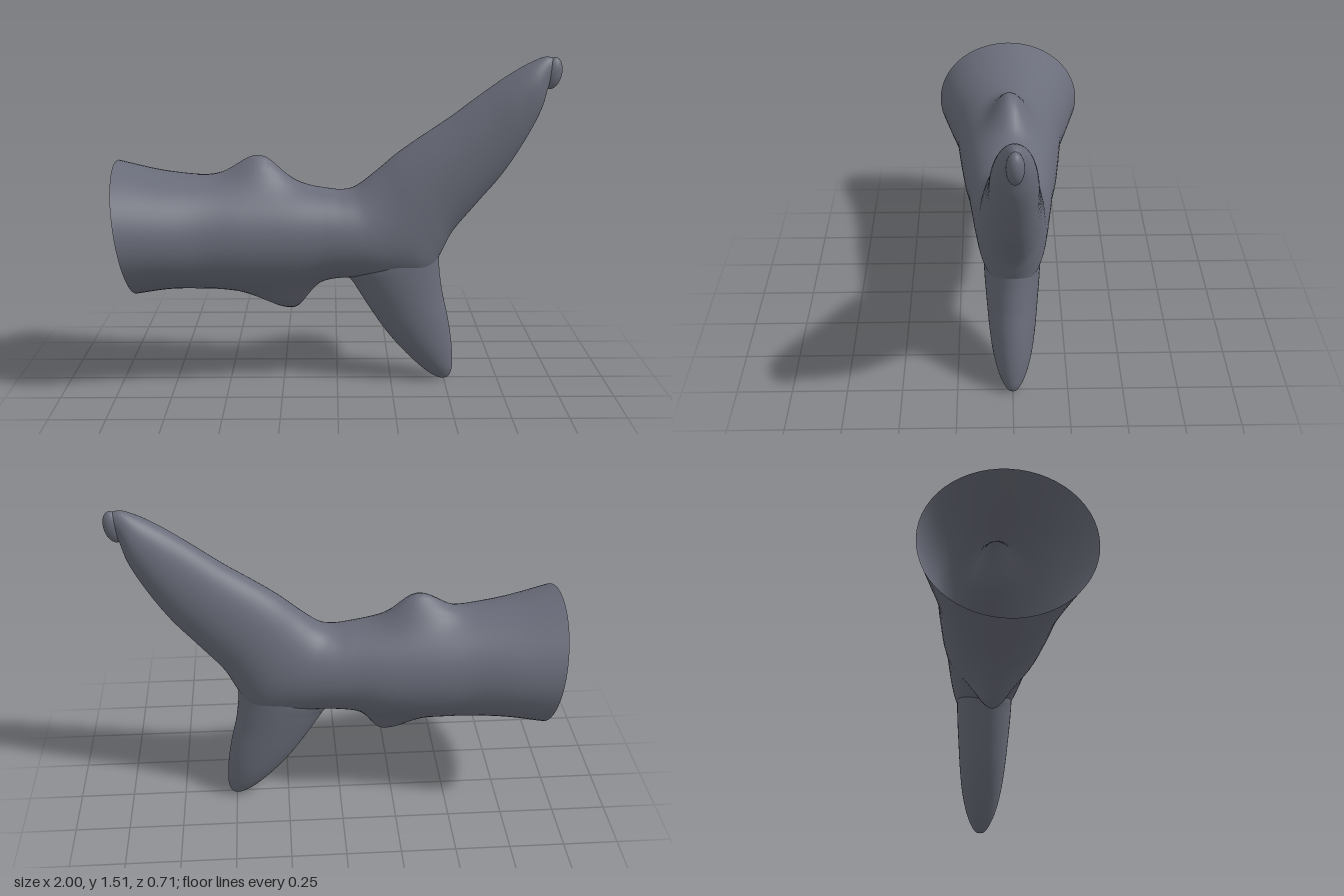
import * as THREE from 'three';

const skin = new THREE.MeshStandardMaterial({ color: 0x696c79, side: THREE.DoubleSide });
skin.name = 'slate grey skin';

// Smooth loft through elliptical sections: [edgeA x, y, edgeB x, y, half width]
function loft(name, sections, steps, shape) {
  const sides = 56;
  const edgeA = new THREE.CatmullRomCurve3(sections.map(s => new THREE.Vector3(s[0], s[1], s[4])));
  const edgeB = new THREE.CatmullRomCurve3(sections.map(s => new THREE.Vector3(s[2], s[3], 0)));
  const positions = [], index = [];
  for (let i = 0; i <= steps; i++) {
    const a = edgeA.getPoint(i / steps), b = edgeB.getPoint(i / steps);
    for (let j = 0; j < sides; j++) {
      const t = (j / sides) * Math.PI * 2, k = (1 - Math.cos(t)) / 2;
      const p = new THREE.Vector3(a.x + (b.x - a.x) * k, a.y + (b.y - a.y) * k, a.z * Math.sin(t));
      if (shape) shape(p, Math.cos(t));
      positions.push(p.x, p.y, p.z);
      if (i < steps) {
        const n = (j + 1) % sides, r = i * sides, q = r + sides;
        index.push(r + j, r + n, q + j, r + n, q + n, q + j);
      }
    }
  }
  const geometry = new THREE.BufferGeometry();
  geometry.setAttribute('position', new THREE.Float32BufferAttribute(positions, 3));
  geometry.setIndex(index);
  geometry.computeVertexNormals();
  const mesh = new THREE.Mesh(geometry, skin);
  mesh.name = name;
  return mesh;
}

// Lopsided bell curve, used for the small rounded fins
const bell = (x, centre, left, right) => Math.exp(-(((x - centre) / (x < centre ? left : right)) ** 2));

// Raises the small fins along the midline above and below the body
function raiseFins(p, side) {
  const ridge = Math.exp(-((p.z / 0.085) ** 2));
  if (side > 0) p.y += 0.118 * ridge * bell(p.x, -0.35, 0.14, 0.12);
  else p.y -= 0.112 * ridge * bell(p.x, -0.2, 0.18, 0.085);
}

export function createModel() {
  const model = new THREE.Group();
  model.name = 'fishTail';

  // Open-ended body flowing into the upper lobe
  model.add(loft('bodyAndUpperLobe', [
    [-1.0, 1.04, -0.91, 0.435, 0.355],
    [-0.8, 0.995, -0.75, 0.455, 0.31],
    [-0.6, 0.972, -0.58, 0.452, 0.262],
    [-0.4, 0.955, -0.4, 0.448, 0.24],
    [-0.2, 0.935, -0.2, 0.462, 0.217],
    [-0.06, 0.915, -0.06, 0.49, 0.195],
    [0.02, 0.907, 0.08, 0.5, 0.182],
    [0.08, 0.922, 0.25, 0.49, 0.168],
    [0.17, 0.99, 0.41, 0.5, 0.152],
    [0.27, 1.075, 0.475, 0.61, 0.138],
    [0.36, 1.14, 0.525, 0.71, 0.127],
    [0.5, 1.235, 0.63, 0.84, 0.114],
    [0.64, 1.34, 0.75, 0.985, 0.102],
    [0.76, 1.425, 0.85, 1.145, 0.092],
    [0.86, 1.483, 0.915, 1.28, 0.072],
    [0.93, 1.508, 0.94, 1.37, 0.04],
    [0.965, 1.495, 0.96, 1.41, 0.02],
    [0.97, 1.45, 0.97, 1.45, 0],
  ], 136, raiseFins));

  // Lower lobe, rooted inside the body
  model.add(loft('lowerLobe', [
    [0.44, 0.76, 0.1, 0.7, 0.1],
    [0.465, 0.63, 0.03, 0.54, 0.125],
    [0.472, 0.53, 0.075, 0.47, 0.124],
    [0.488, 0.42, 0.15, 0.35, 0.115],
    [0.515, 0.3, 0.225, 0.24, 0.104],
    [0.533, 0.19, 0.31, 0.14, 0.088],
    [0.54, 0.1, 0.39, 0.062, 0.064],
    [0.538, 0.045, 0.445, 0.02, 0.04],
    [0.525, 0.012, 0.48, 0.004, 0.02],
    [0.505, 0.003, 0.505, 0.003, 0],
  ], 72));

  // Rounded knob at the tip of the upper lobe
  const tip = new THREE.Mesh(new THREE.SphereGeometry(1, 24, 16), skin);
  tip.name = 'upperLobeTip';
  tip.scale.set(0.042, 0.072, 0.035);
  tip.position.set(0.957, 1.435, 0);
  tip.rotation.z = -0.2;
  model.add(tip);

  return model;
}
